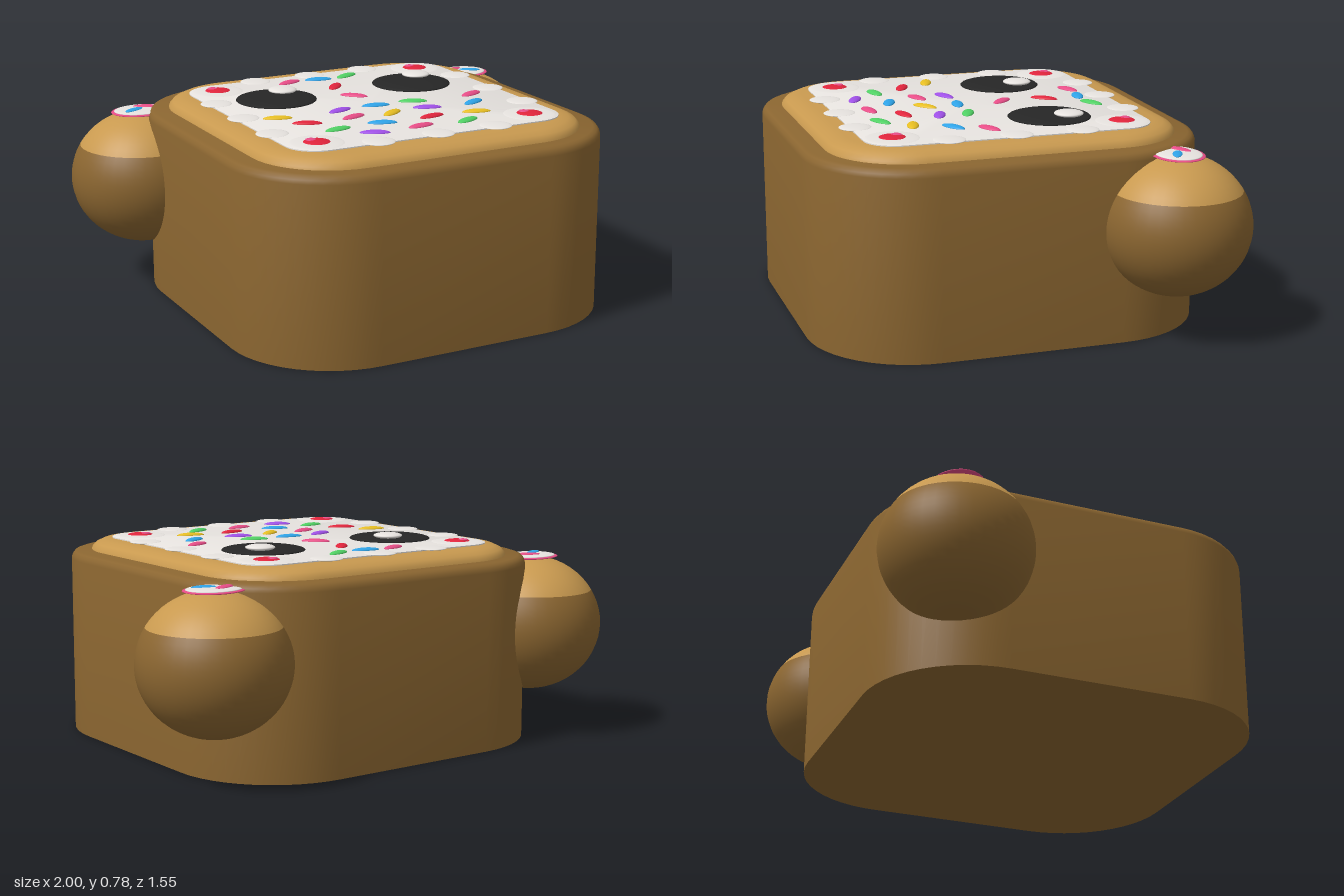
import * as THREE from 'three';
import { toCreasedNormals } from 'three/addons/utils/BufferGeometryUtils.js';

const COLORS = {
  crust: 0x8a6530, crumb: 0xc8994f, icing: 0xf2eeea, black: 0x262626, red: 0xe0243c,
  pink: 0xf0508c, blue: 0x30a8ee, green: 0x50d064, yellow: 0xeec424, purple: 0xa050e8,
};

// Rounded-rectangle slab built from stacked rings; profile = [[inset, y], ...] from bottom to top
function slab(hx, hz, r, profile, seg = 12) {
  const pos = [], idx = [], n = 4 * (seg + 1);
  for (const [inset, y] of profile) {
    for (let q = 0; q < 4; q++) {
      const sx = q === 0 || q === 3 ? 1 : -1, sz = q < 2 ? 1 : -1;
      for (let i = 0; i <= seg; i++) {
        const t = (q + i / seg) * Math.PI / 2;
        pos.push(sx * (hx - r) + Math.cos(t) * (r - inset), y, sz * (hz - r) + Math.sin(t) * (r - inset));
      }
    }
  }
  const last = (profile.length - 1) * n, bottom = profile.length * n, top = bottom + 1;
  pos.push(0, profile[0][1], 0, 0, profile[profile.length - 1][1], 0);
  for (let k = 0; k < n; k++) {
    const m = (k + 1) % n;
    for (let j = 0; j < last; j += n) idx.push(j + k, j + n + k, j + m, j + m, j + n + k, j + n + m);
    idx.push(bottom, k, m, top, last + m, last + k);
  }
  const g = new THREE.BufferGeometry();
  g.setAttribute('position', new THREE.Float32BufferAttribute(pos, 3));
  g.setIndex(idx);
  return toCreasedNormals(g, 0.7);
}

export function createModel() {
  const model = new THREE.Group();
  model.name = 'bearToast';
  const mats = {};
  for (const [name, color] of Object.entries(COLORS)) {
    mats[name] = new THREE.MeshStandardMaterial({ color });
    mats[name].name = name;
  }
  const add = (name, geo, mat, x = 0, y = 0, z = 0) => {
    const mesh = new THREE.Mesh(geo, mats[mat]);
    mesh.name = name;
    mesh.position.set(x, y, z);
    model.add(mesh);
    return mesh;
  };

  // Flattened ball, used for all the small decorations
  const ball = new THREE.SphereGeometry(1, 28, 14);
  const button = (name, mat, x, y, z, rx, ry = 0.006, rz = rx, deg = 0) => {
    const mesh = add(name, ball, mat, x, y, z);
    mesh.scale.set(rx, ry, rz);
    mesh.rotation.y = THREE.MathUtils.degToRad(deg);
  };

  // Loaf body and the lighter top slice
  add('body', slab(0.74, 0.738, 0.4,
    [[0, 0], [0, 0.67], [0.004, 0.684], [0.013, 0.695], [0.028, 0.7]]), 'crust', 0, 0, 0.037);
  add('topSlice', slab(0.655, 0.66, 0.3,
    [[0, 0.69], [0.004, 0.709], [0.018, 0.724], [0.045, 0.736], [0.08, 0.741]]), 'crumb', 0, 0, 0.037);

  // Icing sheet with scalloped edge
  add('icing', slab(0.555, 0.54, 0.12, [[0, 0.735], [0, 0.745], [0.006, 0.747]]), 'icing', 0, 0, 0.035);
  for (const s of [-1, 0, 1]) {
    for (const z of [-0.485, 0.555]) button('icingScallop', 'icing', s * 0.24, 0.746, z, 0.06);
    for (const x of [-0.525, 0.525]) button('icingScallop', 'icing', x, 0.746, 0.035 + s * 0.25, 0.06);
  }

  // Corner cherries on icing blobs
  for (const x of [-0.44, 0.44]) {
    for (const z of [-0.4, 0.47]) {
      button('icingBlob', 'icing', x, 0.746, z, 0.1, 0.005);
      button('cherry', 'red', x, 0.748, z, 0.05, 0.009);
      button('cherryShine', 'pink', x - 0.014, 0.755, z - 0.018, 0.02, 0.004);
    }
  }

  // Eyes
  for (const x of [-0.295, 0.295]) {
    button('eye', 'black', x, 0.748, -0.17, 0.155, 0.016);
    button('eyeShine', 'icing', x + 0.053, 0.767, -0.227, 0.055, 0.012);
  }

  // Sprinkles by colour: x, z, angle in degrees
  const sprinkles = {
    pink: [[-0.13, -0.4, 20], [-0.005, -0.085, -45], [0.41, 0.1, 25], [-0.16, 0.21, 20], [-0.005, 0.44, 10]],
    blue: [[-0.005, -0.395, -12], [-0.005, 0.093, -10], [0.35, 0.217, 28], [-0.107, 0.335, -20]],
    green: [[0.125, -0.402, 25], [0.152, 0.1, -22], [-0.293, 0.345, 10], [0.187, 0.447, 25]],
    red: [[0, -0.255, 50], [-0.353, 0.217, -25], [0.1, 0.335, 12]],
    yellow: [[-0.417, 0.1, -18], [-0.005, 0.222, 35], [0.283, 0.35, -15]],
    purple: [[-0.16, 0.1, 20], [0.152, 0.21, -20], [-0.197, 0.447, -25]],
  };
  for (const [mat, list] of Object.entries(sprinkles)) {
    for (const [x, z, deg] of list) button('sprinkle', mat, x, 0.747, z, 0.055, 0.01, 0.022, deg);
  }

  // Ears: dark ball, lighter cap, iced plate with two sprinkles
  const split = Math.acos(0.51);
  const earCap = new THREE.SphereGeometry(1, 40, 10, 0, Math.PI * 2, 0, split);
  const earBall = new THREE.SphereGeometry(1, 40, 20, 0, Math.PI * 2, split, Math.PI - split);
  for (const s of [-1, 1]) {
    const x = s * 0.725, z = -0.5;
    add('ear', earBall, 'crust', x, 0.423, z).scale.set(0.275, 0.258, 0.275);
    add('earCap', earCap, 'crumb', x, 0.423, z).scale.set(0.275, 0.258, 0.275);
    button('earPlateRim', 'pink', x, 0.68, z, 0.115, 0.008, 0.095);
    button('earPlate', 'icing', x, 0.684, z, 0.104, 0.008, 0.084);
    button('earSprinkle', 'pink', x - s * 0.03, 0.69, z - 0.02, 0.05, 0.007, 0.02, s * 25);
    button('earSprinkle', 'blue', x + s * 0.03, 0.69, z + 0.015, 0.045, 0.007, 0.018, s * -25);
  }
  return model;
}
